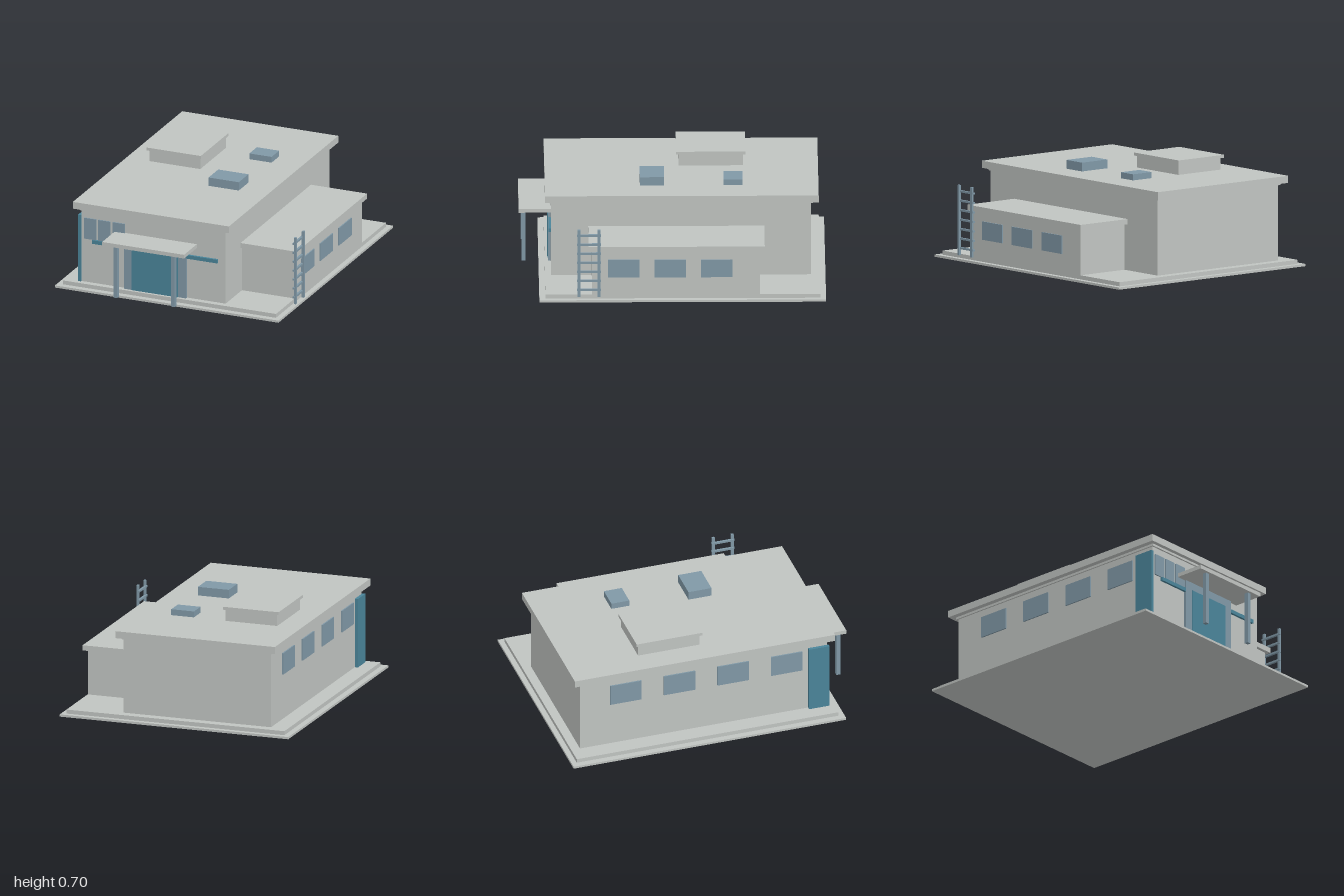
import * as THREE from 'three';

export function createModel() {
  const model = new THREE.Group();
  model.name = 'building';

  const material = (name, color) => {
    const m = new THREE.MeshStandardMaterial({ color });
    m.name = name;
    return m;
  };
  const concrete = material('concrete', 0xc0c4c1);
  const steel = material('blueGreySteel', 0x8098a6);
  const teal = material('teal', 0x4a8499);

  // Box given by its extents along each axis
  const box = (name, mat, [x0, x1], [y0, y1], [z0, z1], parent = model) => {
    const mesh = new THREE.Mesh(new THREE.BoxGeometry(x1 - x0, y1 - y0, z1 - z0), mat);
    mesh.position.set((x0 + x1) / 2, (y0 + y1) / 2, (z0 + z1) / 2);
    mesh.name = name;
    parent.add(mesh);
    return mesh;
  };
  const group = (name) => {
    const g = new THREE.Group();
    g.name = name;
    model.add(g);
    return g;
  };

  // Stepped plinth
  box('lowerPlinth', concrete, [-0.805, 0.785], [0, 0.015], [-1, 0.87]);
  box('upperPlinth', concrete, [-0.765, 0.75], [0.015, 0.042], [-0.965, 0.83]);

  // Main hall with cornice and overhanging roof
  box('mainHall', concrete, [-0.65, 0.375], [0.042, 0.54], [-0.905, 0.79]);
  box('cornice', concrete, [-0.66, 0.383], [0.54, 0.555], [-0.917, 0.802]);
  box('mainRoof', concrete, [-0.695, 0.415], [0.555, 0.602], [-0.955, 0.83]);

  // Low side wing
  box('sideWing', concrete, [0.375, 0.75], [0.042, 0.345], [-0.57, 0.525]);
  box('wingRoof', concrete, [0.37, 0.775], [0.345, 0.38], [-0.6, 0.548]);

  // Rooftop housing and skylights
  box('roofHousing', concrete, [-0.53, -0.17], [0.602, 0.68], [-0.467, -0.045]);
  box('housingCap', concrete, [-0.545, -0.16], [0.68, 0.7], [-0.482, -0.03]);
  box('largeSkylight', steel, [0, 0.215], [0.602, 0.66], [0.052, 0.21]);
  box('smallSkylight', steel, [0.052, 0.21], [0.602, 0.642], [-0.46, -0.337]);

  // Windows: wing side, hall left side (as seen from the front), and front
  const windows = group('windows');
  for (const z of [-0.388, -0.085, 0.217])
    box('wingWindow', steel, [0.75, 0.758], [0.162, 0.283], [z, z + 0.205], windows);
  for (let i = 0; i < 4; i++) {
    const z = -0.7 + i * 0.368;
    box('hallWindow', steel, [-0.659, -0.65], [0.345, 0.49], [z, z + 0.215], windows);
  }
  for (const x of [-0.63, -0.529, -0.428])
    box('frontWindow', steel, [x, x + 0.086], [0.345, 0.49], [0.79, 0.799], windows);

  // Teal trim
  box('frontStrip', teal, [-0.57, 0.32], [0.32, 0.345], [0.79, 0.806]);
  box('cornerPanel', teal, [-0.672, -0.65], [0.042, 0.505], [0.66, 0.8]);

  // Entrance: door frame, door, canopy and posts
  box('doorFrame', steel, [-0.34, 0.1], [0.042, 0.4], [0.79, 0.808]);
  box('door', teal, [-0.285, 0.042], [0.042, 0.345], [0.808, 0.812]);
  box('canopy', concrete, [-0.412, 0.17], [0.4, 0.426], [0.79, 1]);
  for (const x of [-0.341, 0.068])
    box('canopyPost', steel, [x, x + 0.028], [0.042, 0.4], [0.955, 0.982]);

  // Wall ladder
  const ladder = group('ladder');
  for (const z of [0.472, 0.602])
    box('ladderRail', steel, [0.785, 0.8], [0.042, 0.505], [z, z + 0.018], ladder);
  for (let i = 0; i < 7; i++) {
    const y = 0.082 + i * 0.0625;
    box('ladderRung', steel, [0.778, 0.793], [y, y + 0.013], [0.468, 0.624], ladder);
  }

  return model;
}
